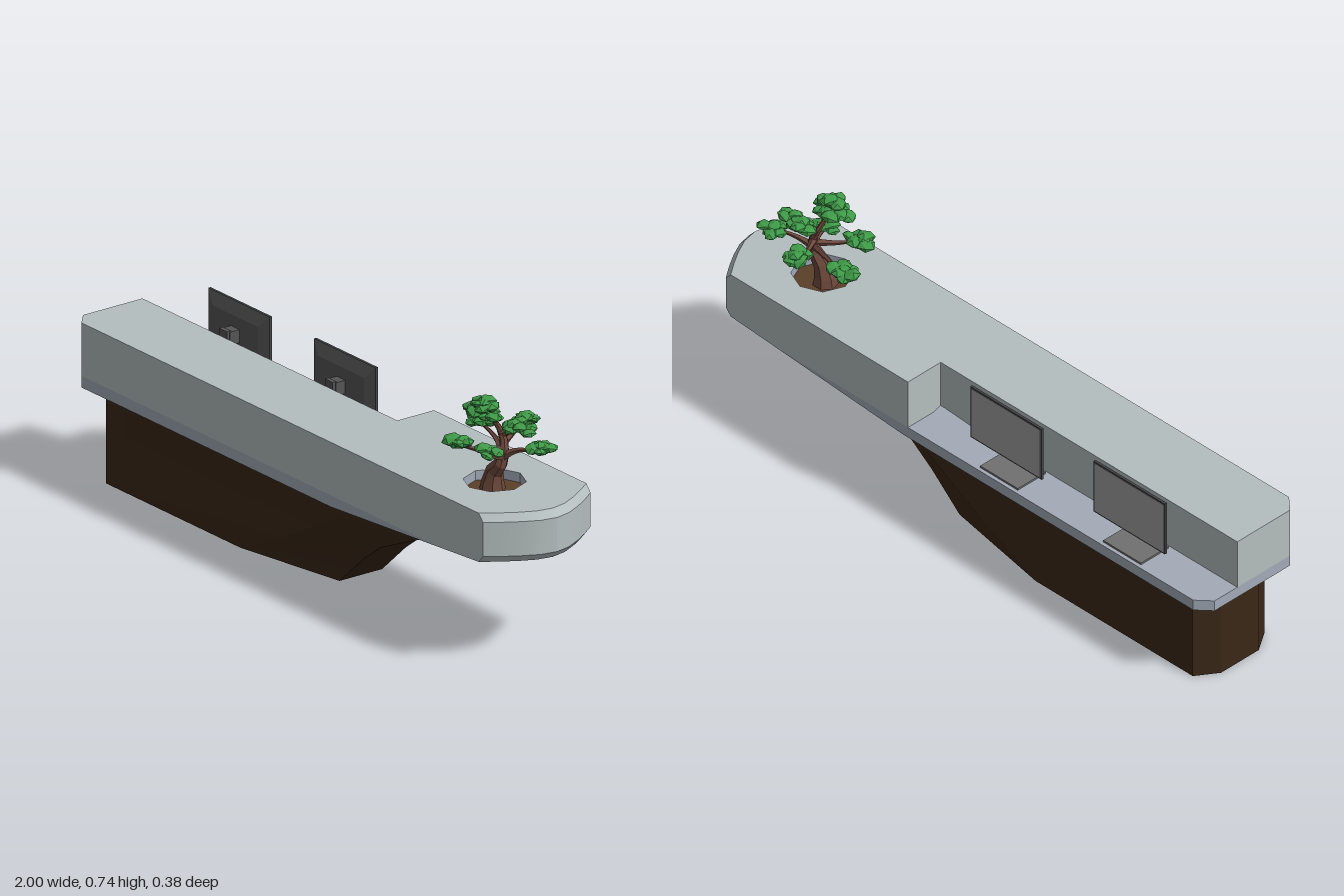
import * as THREE from 'three';
import { toCreasedNormals } from 'three/addons/utils/BufferGeometryUtils.js';

const mat = (color, opts = {}) => new THREE.MeshStandardMaterial({ color, ...opts });

function mesh(name, geometry, material, x = 0, y = 0, z = 0) {
  const m = new THREE.Mesh(geometry, material);
  m.name = name;
  m.position.set(x, y, z);
  return m;
}

// Skin stacked rings of [x, y, z] points and close both ends; holes only cut the top cap.
function loft(rings, hole = null) {
  const out = [];
  const n = rings[0].length;
  for (let k = 0; k < rings.length - 1; k++) {
    const a = rings[k], b = rings[k + 1];
    for (let i = 0; i < n; i++) {
      const j = (i + 1) % n;
      out.push(...a[i], ...a[j], ...b[j], ...a[i], ...b[j], ...b[i]);
    }
  }
  const cap = (ring, up, cut) => {
    const flat = (pts) => pts.map(([x, , z]) => new THREE.Vector2(x, -z));
    const all = cut ? [...ring, ...cut] : ring;
    for (const [a, b, c] of THREE.ShapeUtils.triangulateShape(flat(ring), cut ? [flat(cut)] : [])) {
      out.push(...all[a], ...all[up ? b : c], ...all[up ? c : b]);
    }
  };
  cap(rings[0], false, null);
  cap(rings[rings.length - 1], true, hole);
  const g = new THREE.BufferGeometry();
  g.setAttribute('position', new THREE.Float32BufferAttribute(out, 3));
  return toCreasedNormals(g, 0.35);
}

// Complete a half outline (z > 0, left to right) with its mirror image.
const mirrorZ = (half) => [...half, ...[...half].reverse().map(([x, y, z]) => [x, y, -z])];

// Tapered, bent limb through a few points.
function limb(points, r0, r1, sides = 6) {
  const curve = new THREE.CatmullRomCurve3(points.map((p) => new THREE.Vector3(...p)));
  const n = 8;
  const g = new THREE.TubeGeometry(curve, n, 1, sides);
  const pos = g.attributes.position, v = new THREE.Vector3();
  for (let i = 0; i < pos.count; i++) {
    const t = Math.floor(i / (sides + 1)) / n;
    const c = curve.getPointAt(t);
    const r = r1 + (r0 - r1) * (1 - t) ** 1.8;
    v.fromBufferAttribute(pos, i).sub(c).multiplyScalar(r).add(c);
    pos.setXYZ(i, v.x, v.y, v.z);
  }
  return g;
}

const PLANTER = { x: 0.71, r: 0.09, depth: 0.03 };

function createCounter() {
  const group = new THREE.Group();
  group.name = 'counter';

  // Slab whose underside rises towards the rounded end
  const slabBottom = mirrorZ([[-1, 0.285, 0.15], [-0.955, 0.285, 0.19], [0.2, 0.285, 0.19], [0.52, 0.285, 0.085]]);
  const slabTop = mirrorZ([[-1, 0.32, 0.15], [-0.955, 0.32, 0.19], [0.7, 0.32, 0.19], [0.885, 0.333, 0.19]]);
  group.add(mesh('counterSlab', loft([slabBottom, slabTop]), mat(0xa3abb8)));

  // Upper body with a work ledge cut from the back and a bevelled rounded end
  const nose = [[0.905, 0.19], [0.937, 0.145], [0.965, 0.1], [0.99, 0.05], [1, 0],
    [0.99, -0.05], [0.965, -0.1], [0.937, -0.145], [0.905, -0.19]];
  const ring = (yBody, yNose, inset) => [
    [-1, yBody, 0.15], [-0.955, yBody, 0.19], [0.7, yBody, 0.19],
    ...nose.map(([x, z]) => [x - inset, yNose, z]),
    [0.7, yBody, -0.19], [0.18, yBody, -0.19], [0.18, yBody, -0.06], [-1, yBody, -0.06],
  ];
  const hole = Array.from({ length: 8 }, (_, i) => {
    const a = (i * Math.PI) / 4;
    return [PLANTER.x + PLANTER.r * Math.cos(a), 0.48, PLANTER.r * Math.sin(a)];
  });
  const rings = [ring(0.32, 0.333, 0.02), ring(0.355, 0.355, 0), ring(0.458, 0.458, 0), ring(0.48, 0.48, 0.02)];
  group.add(mesh('counterBody', loft(rings, hole), mat(0xb4bebe)));

  // Sunken planter
  const { x, r, depth } = PLANTER;
  group.add(mesh('planterWall', new THREE.CylinderGeometry(r, r, depth, 8, 1, true),
    mat(0xa3abb8, { flatShading: true, side: THREE.DoubleSide }), x, 0.48 - depth / 2, 0));
  const soil = mesh('planterSoil', new THREE.CircleGeometry(r, 8), mat(0x5a4028), x, 0.481 - depth, 0);
  soil.rotation.x = -Math.PI / 2;
  group.add(soil);
  return group;
}

// Plinth: sides narrow towards the raked end; each level is [y, taper start x, tip x]
function createPlinth() {
  const levels = [[0, -0.28, 0.09], [0.1, -0.07, 0.2], [0.16, 0.04, 0.28], [0.24, 0.18, 0.46],
    [0.265, 0.21, 0.52], [0.286, 0.21, 0.52]];
  const rings = levels.map(([y, x0, x1]) =>
    mirrorZ([[-0.95, y, 0.075], [-0.905, y, 0.142], [x0, y, 0.142], [x1, y, 0.075]]));
  return mesh('plinth', loft(rings), mat(0x3a2717));
}

function createMonitor(x) {
  const group = new THREE.Group();
  group.name = 'monitor';
  group.position.x = x;
  const dark = mat(0x555555);

  // Casing with its rear drawn in
  const shell = new THREE.BoxGeometry(0.28, 0.175, 0.014);
  const pos = shell.attributes.position;
  for (let i = 0; i < pos.count; i++) {
    if (pos.getZ(i) > 0) pos.setXY(i, pos.getX(i) * 0.76, pos.getY(i) * 0.58);
  }
  shell.computeVertexNormals();
  group.add(
    mesh('monitorShell', shell, dark, 0, 0.466, -0.135),
    mesh('monitorFrame', new THREE.BoxGeometry(0.284, 0.177, 0.008), mat(0x444444), 0, 0.466, -0.146),
    mesh('screen', new THREE.BoxGeometry(0.274, 0.167, 0.002), mat(0xa0a0a0), 0, 0.466, -0.15),
    mesh('standArm', new THREE.BoxGeometry(0.04, 0.04, 0.035), dark, 0, 0.462, -0.112),
    mesh('standPost', new THREE.BoxGeometry(0.036, 0.16, 0.014), dark, 0, 0.405, -0.092),
    mesh('standFoot', new THREE.BoxGeometry(0.15, 0.006, 0.11), mat(0x707070), 0, 0.323, -0.123),
  );
  return group;
}

function createTree() {
  const group = new THREE.Group();
  group.name = 'bonsaiTree';
  const bark = mat(0x6b473b, { flatShading: true });
  const leaf = mat(0x3f9a48, { flatShading: true });
  let seed = 7;
  const rand = () => (seed = (seed * 16807) % 2147483647) / 2147483647;

  // Trunk and branches
  const trunk = [[0.7, 0.44, 0], [0.705, 0.5, 0], [0.74, 0.55, -0.005], [0.73, 0.6, -0.018], [0.71, 0.645, -0.01], [0.7, 0.695, 0.025]];
  group.add(mesh('trunk', limb(trunk, 0.04, 0.006, 7), bark));
  const branches = [
    [[0.735, 0.57, -0.01], [0.66, 0.585, -0.04], [0.57, 0.59, -0.065]],
    [[0.74, 0.56, -0.005], [0.78, 0.585, -0.03], [0.84, 0.595, -0.055]],
    [[0.73, 0.595, -0.015], [0.7, 0.6, -0.07], [0.68, 0.62, -0.125]],
    [[0.735, 0.58, -0.01], [0.69, 0.575, 0.04], [0.65, 0.585, 0.075]],
    [[0.72, 0.62, -0.015], [0.75, 0.635, -0.03], [0.78, 0.645, -0.04]],
    [[0.74, 0.56, -0.005], [0.755, 0.57, 0.03], [0.755, 0.585, 0.06]],
  ];
  branches.forEach((p) => group.add(mesh('branch', limb(p, 0.013, 0.005, 5), bark)));

  // Foliage pads: centre, half-widths in x and z, number of tufts
  const pads = [
    [0.56, 0.598, -0.065, 0.045, 0.025, 8],
    [0.84, 0.6, -0.065, 0.035, 0.03, 8],
    [0.68, 0.625, -0.135, 0.02, 0.03, 7],
    [0.64, 0.592, 0.075, 0.04, 0.02, 7],
    [0.77, 0.648, -0.04, 0.06, 0.025, 9],
    [0.75, 0.592, 0.055, 0.035, 0.025, 6],
    [0.7, 0.69, 0.025, 0.06, 0.035, 10],
    [0.705, 0.718, 0.035, 0.03, 0.02, 7],
  ];
  for (const [x, y, z, wx, wz, count] of pads) {
    const pad = new THREE.Group();
    pad.name = 'foliagePad';
    for (let i = 0; i < count; i++) {
      const a = i * 2.4, d = Math.sqrt(i / count);
      const r = 0.02 + 0.009 * rand();
      const tuft = mesh('tuft', new THREE.IcosahedronGeometry(1, 0), leaf,
        x + wx * d * Math.cos(a), y + (rand() - 0.5) * 0.018, z + wz * d * Math.sin(a));
      tuft.scale.set(r * 1.1, r * 0.55, r);
      tuft.rotation.set((rand() - 0.5) * 0.6, rand() * 6.28, (rand() - 0.5) * 0.6);
      pad.add(tuft);
    }
    group.add(pad);
  }
  return group;
}

export function createModel() {
  const model = new THREE.Group();
  model.name = 'receptionDesk';
  model.add(createPlinth(), createCounter(), createMonitor(-0.66), createMonitor(-0.17), createTree());
  return model;
}
